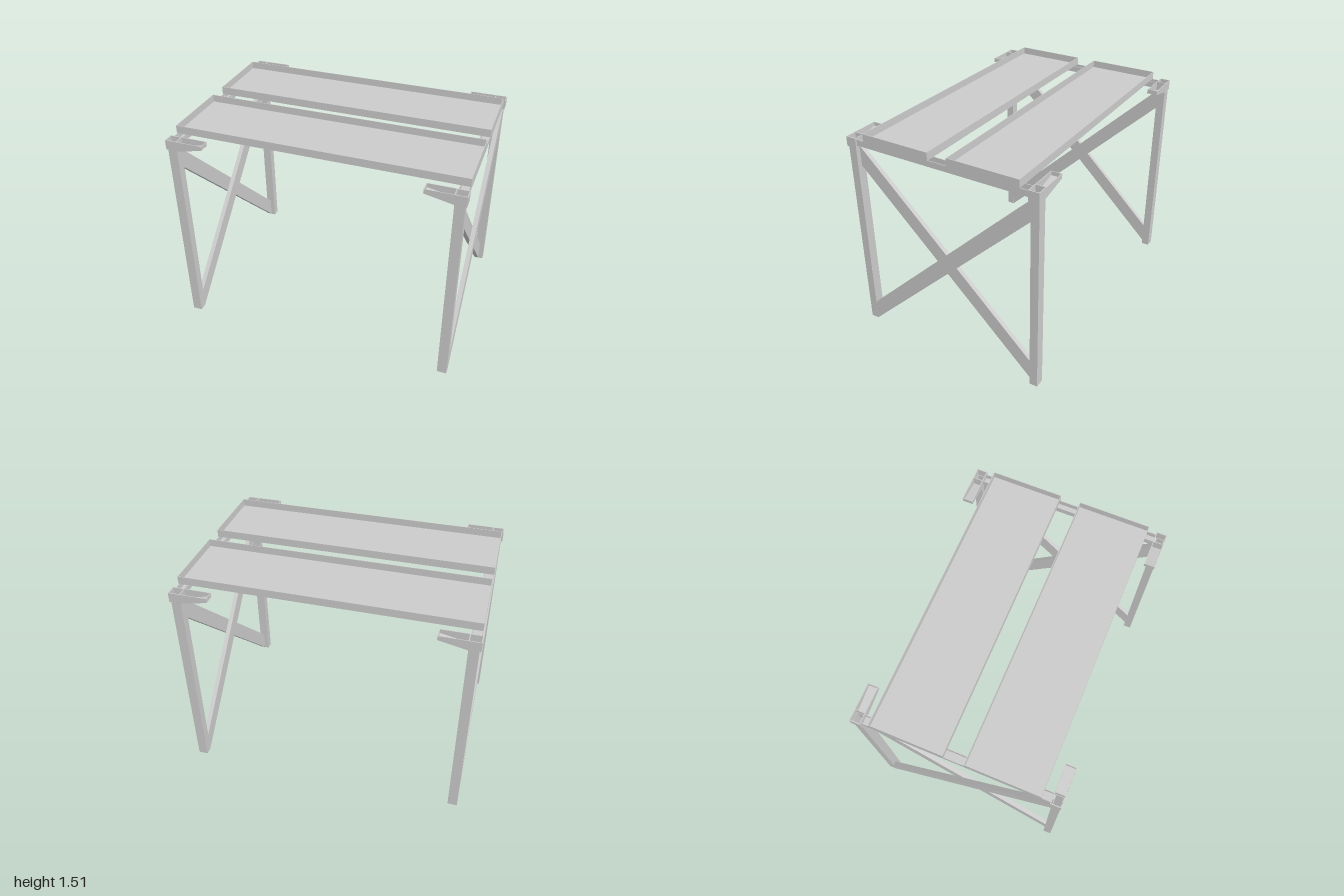
import * as THREE from 'three';

const mat = new THREE.MeshStandardMaterial({ color: 0xcccccc, flatShading: true, side: THREE.DoubleSide });

function add(parent, name, geometry, x = 0, y = 0, z = 0) {
  const mesh = new THREE.Mesh(geometry, mat);
  mesh.name = name;
  mesh.position.set(x, y, z);
  parent.add(mesh);
  return mesh;
}

function outline(points) {
  return new THREE.Shape(points.map(([x, y]) => new THREE.Vector2(x, y)));
}

function extrude(shape, depth) {
  return new THREE.ExtrudeGeometry(shape, { depth, bevelEnabled: false });
}

// Upright rectangular tube, open at both ends, standing on y = 0
function tube(w, d, h, wall) {
  const rect = (a, b) => [[-a, -b], [a, -b], [a, b], [-a, b]];
  const shape = outline(rect(w / 2, d / 2));
  shape.holes.push(outline(rect(w / 2 - wall, d / 2 - wall)));
  return extrude(shape, h).rotateX(-Math.PI / 2);
}

// Shape drawn as (z, y), extruded along +x from x = 0
function sidePanel(points, depth) {
  return extrude(outline(points.map(([z, y]) => [-z, y])), depth).rotateY(Math.PI / 2);
}

// Shallow open-topped tray
function makeTray(z) {
  const tray = new THREE.Group();
  tray.name = 'tray';
  const w = 1.98, d = 0.504, h = 0.055, t = 0.004;
  add(tray, 'trayFloor', new THREE.BoxGeometry(w, t, d), 0, t / 2, 0);
  for (const s of [-1, 1]) {
    add(tray, 'trayLongWall', new THREE.BoxGeometry(w, h, t), 0, h / 2, s * (d - t) / 2);
    add(tray, 'trayEndWall', new THREE.BoxGeometry(t, h, d), s * (w - t) / 2, h / 2, 0);
  }
  tray.position.set(0, 1.452, z);
  return tray;
}

// Corner socket with a tapering, open-topped arm pointing inwards
function makeBracket(sx, sz) {
  const bracket = new THREE.Group();
  bracket.name = 'cornerBracket';
  const z0 = 0.633, z1 = 0.707, t = 0.005, zc = (z0 + z1) / 2;
  const inner = 0.735, root = 0.917, top = 1.463, low = 1.395, tip = 1.433;
  add(bracket, 'socket', tube(0.082, z1 - z0, top - low, 0.006), sx * 0.958, low, sz * zc);

  const mirrored = (pts) => outline(pts.map(([x, y]) => [sx * x, y]));
  const cheek = mirrored([[inner, tip], [root, low], [root, top], [inner, top]]);
  const floor = mirrored([[inner, tip], [root, low], [root, low + t], [inner, tip + t]]);
  for (const z of [z0, z1 - t])
    add(bracket, 'armSide', extrude(cheek, t), 0, 0, sz > 0 ? z : -z - t);
  add(bracket, 'armFloor', extrude(floor, z1 - z0), 0, 0, sz > 0 ? z0 : -z1);
  add(bracket, 'armTip', new THREE.BoxGeometry(t, top - tip, z1 - z0),
    sx * (inner + t / 2), (top + tip) / 2, sz * zc);
  return bracket;
}

// Open-topped channel joining the two sockets of one end
function makeRail(sx) {
  const rail = new THREE.Group();
  rail.name = 'endRail';
  const len = 1.27, w = 0.063, h = 0.042, t = 0.005;
  add(rail, 'railFloor', new THREE.BoxGeometry(w, t, len), 0, t / 2, 0);
  for (const s of [-1, 1])
    add(rail, 'railSide', new THREE.BoxGeometry(t, h, len), s * (w - t) / 2, h / 2, 0);
  rail.position.set(sx * 0.955, 1.41, 0);
  return rail;
}

export function createModel() {
  const model = new THREE.Group();
  model.name = 'trestleTable';

  for (const s of [-1, 1]) model.add(makeTray(s * 0.322));

  for (const sx of [-1, 1]) {
    const end = new THREE.Group();
    end.name = sx > 0 ? 'leftEnd' : 'rightEnd';
    model.add(end);

    for (const sz of [-1, 1]) {
      add(end, 'leg', tube(0.066, 0.057, 1.41, 0.004), sx * 0.955, 0, sz * 0.674);
      end.add(makeBracket(sx, sz));
    }
    end.add(makeRail(sx));

    // Crossed braces, one lying beside the other
    const e = 0.646;
    const brace = (k) => [[k * e, 0], [k * e, 0.143], [-k * e, 1.395], [-k * e, 1.252]];
    const x0 = sx * 0.955;
    add(end, 'outerBrace', sidePanel(brace(1), 0.032), x0, 0, 0);
    add(end, 'innerBrace', sidePanel(brace(-1), 0.032), x0 - 0.032, 0, 0);
  }
  return model;
}
